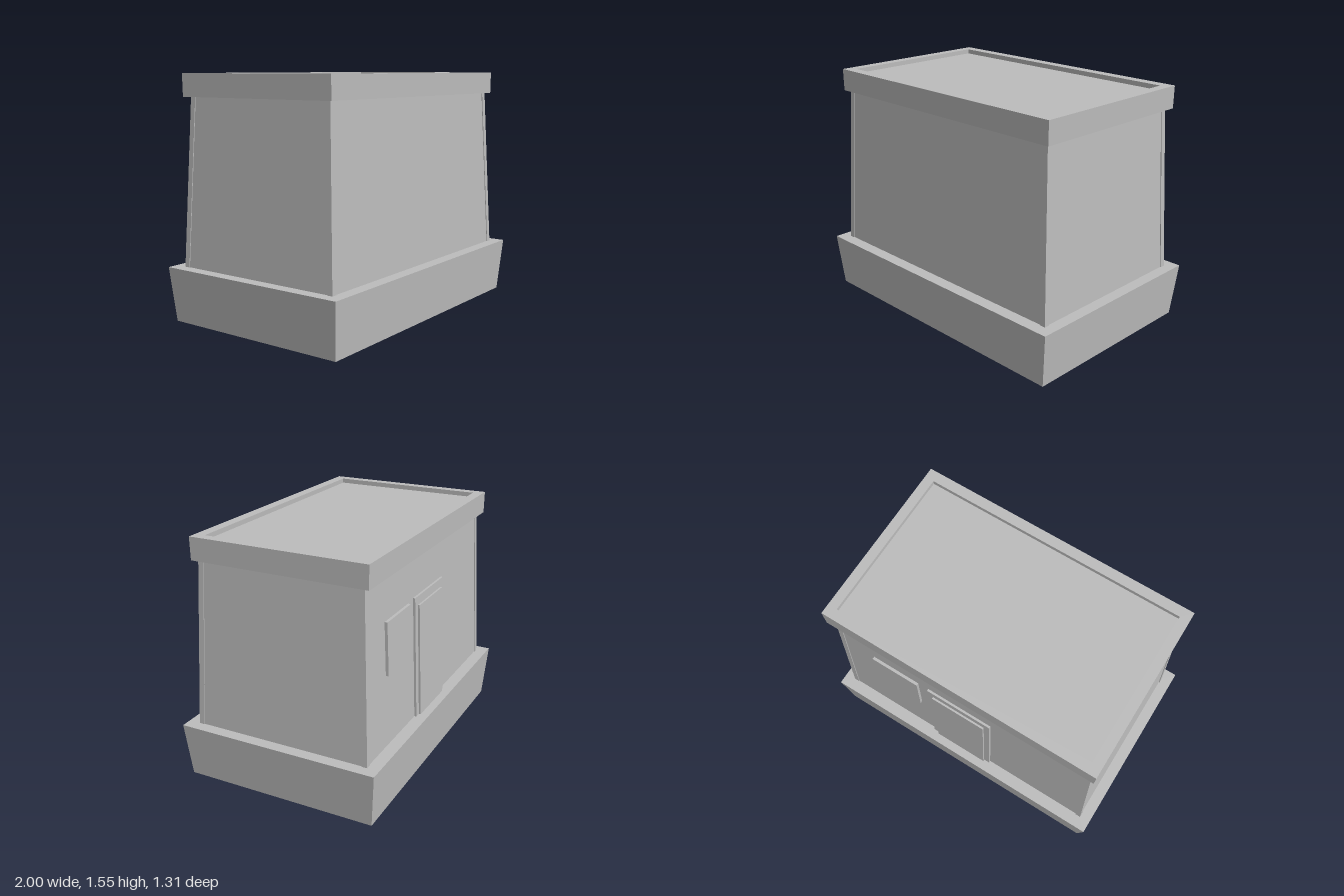
import * as THREE from 'three';

const concrete = new THREE.MeshStandardMaterial({ color: 0xbcbcbc, side: THREE.DoubleSide });
concrete.name = 'concrete grey';

// Flat-sided shell through rectangular rings { x, z (centre), hx, hz (half sizes), y }.
function shell(name, rings, capTop = false) {
  const corners = rings.map(({ x = 0, z = 0, hx, hz, y }) =>
    [[1, 1], [1, -1], [-1, -1], [-1, 1]].map(([sx, sz]) => [x + sx * hx, y, z + sz * hz]));
  const pos = [];
  const quad = (a, b, c, d) => pos.push(...a, ...b, ...c, ...a, ...c, ...d);
  for (let r = 0; r < corners.length - 1; r++) {
    for (let i = 0; i < 4; i++) {
      const j = (i + 1) % 4;
      quad(corners[r][i], corners[r][j], corners[r + 1][j], corners[r + 1][i]);
    }
  }
  if (capTop) quad(...corners[corners.length - 1]);
  const geometry = new THREE.BufferGeometry();
  geometry.setAttribute('position', new THREE.Float32BufferAttribute(pos, 3));
  geometry.computeVertexNormals();
  const mesh = new THREE.Mesh(geometry, concrete);
  mesh.name = name;
  return mesh;
}

// Half width and half depth of the leaning walls at a height
const BOTTOM = 0.35, TOP = 1.43;
const wallX = (y) => 0.925 - 0.042 * (y - BOTTOM);
const wallZ = (y) => 0.575 - 0.042 * (y - BOTTOM);

// Raised plate lying on the leaning back wall
function backPlate(name, x, width, y0, y1, thickness) {
  const ring = (y) => ({ x, z: -wallZ(y) - thickness / 2, hx: width / 2, hz: thickness / 2, y });
  return shell(name, [ring(y0), ring(y1)], true);
}

export function createModel() {
  const model = new THREE.Group();
  model.name = 'building';

  // Flared foundation, open below, with a ledge and a raised floor
  model.add(shell('foundation', [
    { hx: 0.965, hz: 0.628, y: 0 },
    { hx: 1, hz: 0.655, y: BOTTOM },
    { hx: 0.91, hz: 0.56, y: BOTTOM },
    { hx: 0.91, hz: 0.56, y: 0.375 },
  ], true));

  // Leaning walls
  model.add(shell('walls', [BOTTOM, TOP].map((y) => ({ hx: wallX(y), hz: wallZ(y), y }))));

  // Slim posts standing slightly proud at the corners
  const half = 0.018, proud = 0.005;
  for (const sx of [1, -1]) {
    for (const sz of [1, -1]) {
      model.add(shell('cornerPost', [BOTTOM, TOP].map((y) => ({
        x: sx * (wallX(y) + proud - half),
        z: sz * (wallZ(y) + proud - half),
        hx: half, hz: half, y,
      }))));
    }
  }

  // Overhanging roof: soffit, hanging skirt, parapet and sunken deck
  const z = -0.005;
  model.add(shell('roof', [
    { z, hx: 0.86, hz: 0.51, y: TOP },
    { z, hx: 0.913, hz: 0.568, y: TOP },
    { z, hx: 0.915, hz: 0.57, y: 1.407 },
    { z, hx: 0.917, hz: 0.571, y: 1.55 },
    { z, hx: 0.855, hz: 0.505, y: 1.55 },
    { z, hx: 0.855, hz: 0.505, y: 1.52 },
  ], true));

  // Door and window on the back wall
  model.add(backPlate('doorFrame', 0.015, 0.45, BOTTOM, 1.14, 0.014));
  model.add(backPlate('door', 0.015, 0.37, BOTTOM, 1.085, 0.026));
  model.add(backPlate('window', 0.48, 0.33, 0.8, 1.13, 0.018));

  return model;
}
